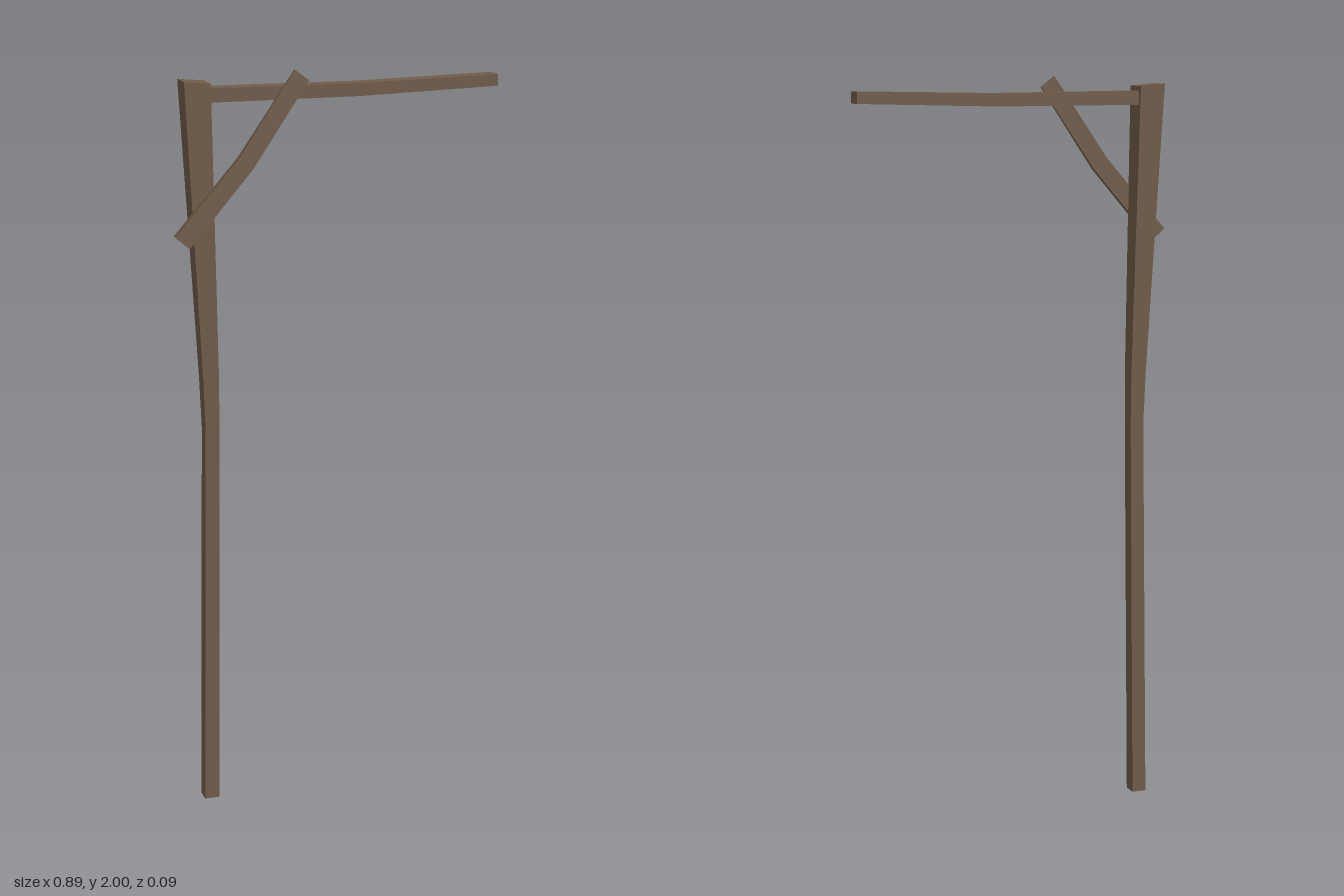
import * as THREE from 'three';

const wood = new THREE.MeshStandardMaterial({ color: 0x735d4b, flatShading: true });

// Four-sided timber lofted through sections [ax, ay, bx, by, zBack, zFront]:
// an edge a-b in the xy plane, with b to the right of the direction of travel.
function timber(name, sections) {
  const rings = sections.map(([ax, ay, bx, by, z0, z1]) => [
    [ax, ay, z1], [bx, by, z1], [bx, by, z0], [ax, ay, z0],
  ]);
  const pos = [];
  const quad = (a, b, c, d) => pos.push(...a, ...b, ...c, ...a, ...c, ...d);
  for (let s = 0; s < rings.length - 1; s++) {
    const lo = rings[s], hi = rings[s + 1];
    for (let i = 0; i < 4; i++) {
      const j = (i + 1) % 4;
      quad(lo[i], lo[j], hi[j], hi[i]);
    }
  }
  // End caps
  const first = rings[0], last = rings[rings.length - 1];
  quad(first[0], first[3], first[2], first[1]);
  quad(last[0], last[1], last[2], last[3]);

  const geo = new THREE.BufferGeometry();
  geo.setAttribute('position', new THREE.Float32BufferAttribute(pos, 3));
  geo.computeVertexNormals();
  const mesh = new THREE.Mesh(geo, wood);
  mesh.name = name;
  return mesh;
}

export function createModel() {
  const group = new THREE.Group();
  group.name = 'woodenHangingPost';

  // Crooked upright, thicker towards the top
  group.add(timber('post', [
    [-0.387, 0, -0.347, 0, -0.024, 0.016],
    [-0.369, 1.06, -0.331, 1.06, -0.024, 0.016],
    [-0.374, 1.2, -0.331, 1.2, -0.026, 0.018],
    [-0.413, 1.98, -0.343, 1.974, -0.045, 0.024],
  ]));

  // Horizontal arm, slightly bowed
  group.add(timber('arm', [
    [-0.36, 1.961, -0.36, 1.924, -0.034, 0.015],
    [0.06, 1.958, 0.06, 1.924, -0.035, 0.014],
    [0.447, 1.966, 0.447, 1.935, -0.038, 0.012],
  ]));

  // Diagonal brace fixed to the front face
  group.add(timber('brace', [
    [-0.447, 1.586, -0.41, 1.554, 0.022, 0.042],
    [-0.273, 1.781, -0.235, 1.752, 0.018, 0.034],
    [-0.119, 2.0, -0.081, 1.972, 0.016, 0.023],
  ]));

  return group;
}
